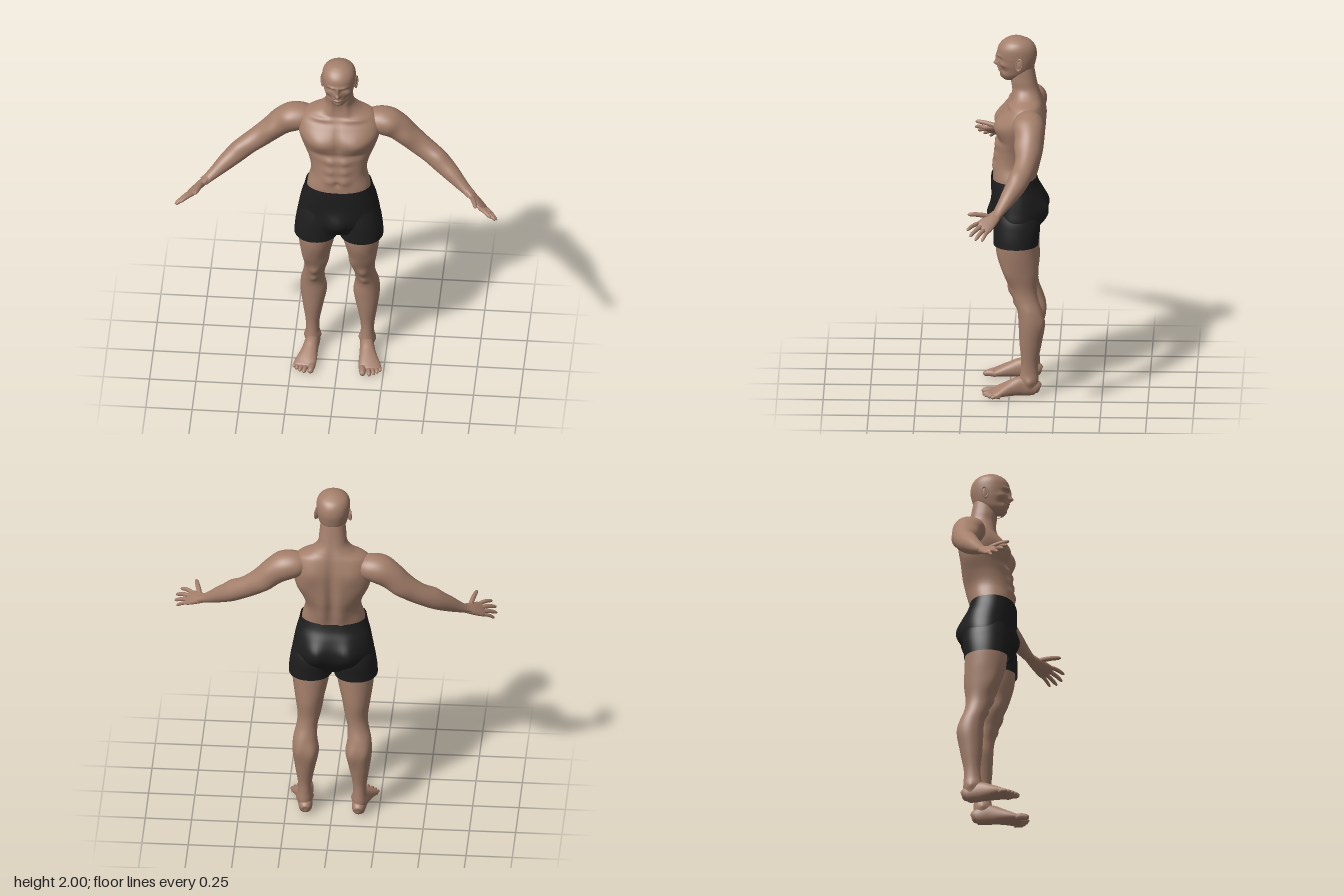
import * as THREE from 'three';

const skin = new THREE.MeshStandardMaterial({ color: 0xa47f6b });
skin.name = 'skin';
const cloth = new THREE.MeshStandardMaterial({ color: 0x1e1e1e, side: THREE.DoubleSide });
cloth.name = 'black cloth';

// Catmull-Rom blend of whole rows of numbers
function rowAt(rows, s) {
  const i = Math.min(Math.floor(s), rows.length - 2), t = s - i;
  const at = k => rows[Math.max(0, Math.min(rows.length - 1, k))];
  const [a, b, c, d] = [at(i - 1), at(i), at(i + 1), at(i + 2)];
  return b.map((p, k) => p + 0.5 * t * (c[k] - a[k] + t * (2 * a[k] - 5 * p + 4 * c[k] - d[k] + t * (3 * (p - c[k]) + d[k] - a[k]))));
}

// Smooth skin over cross-sections [x, y, z, halfWidth, halfDepth].
// With ref the sections follow the path; without it they stay horizontal.
// Bumps [x,y,z, rx,ry,rz, dx,dy,dz] push the surface locally to model muscle.
function loft(rows, { ref = null, bumps = [], around = 32, steps = 5, power = 1 } = {}) {
  const n = (rows.length - 1) * steps, pos = [], index = [];
  const u = new THREE.Vector3(1, 0, 0), v = new THREE.Vector3(0, 0, -1), t = new THREE.Vector3();
  const centre = s => new THREE.Vector3(...rowAt(rows, s).slice(0, 3));
  const round = c => Math.sign(c) * Math.abs(c) ** power;
  for (let i = 0; i <= n; i++) {
    const s = i / steps, [x, y, z, a, b] = rowAt(rows, s);
    if (ref) {
      t.subVectors(centre(Math.min(s + 0.1, rows.length - 1)), centre(Math.max(s - 0.1, 0))).normalize();
      v.copy(ref).addScaledVector(t, -ref.dot(t)).normalize();
      u.crossVectors(v, t);
    }
    for (let j = 0; j < around; j++) {
      const q = j / around * Math.PI * 2;
      const p = new THREE.Vector3(x, y, z)
        .addScaledVector(u, Math.max(a, 0.0005) * round(Math.cos(q)))
        .addScaledVector(v, Math.max(b, 0.0005) * round(Math.sin(q)));
      const o = p.clone();
      for (const [bx, by, bz, rx, ry, rz, dx, dy, dz] of bumps) {
        const g = Math.exp(-(((o.x - bx) / rx) ** 2) - ((o.y - by) / ry) ** 2 - ((o.z - bz) / rz) ** 2);
        p.x += dx * g; p.y += dy * g; p.z += dz * g;
      }
      pos.push(p.x, p.y, p.z);
      if (i < n) {
        const k = i * around + j, m = i * around + (j + 1) % around;
        index.push(k, m, k + around, m, m + around, k + around);
      }
    }
  }
  const g = new THREE.BufferGeometry();
  g.setAttribute('position', new THREE.Float32BufferAttribute(pos, 3));
  g.setIndex(index);
  g.computeVertexNormals();
  return g;
}

function mirrored(geo) {
  const g = geo.clone().scale(-1, 1, 1), ix = g.index.array;
  for (let i = 0; i < ix.length; i += 3) [ix[i], ix[i + 1]] = [ix[i + 1], ix[i]];
  g.computeVertexNormals();
  return g;
}

const both = list => list.flatMap(b => [b, [-b[0], ...b.slice(1, 6), -b[6], b[7], b[8]]]);

// Horizontal section from its front and back limits
const slab = ([y, front, back, half]) => [0, y, (front + back) / 2, half, (front - back) / 2];

// Tapered, slightly arched finger or toe
function digit(a, b, r, arch) {
  const A = new THREE.Vector3(...a), B = new THREE.Vector3(...b);
  const rows = [[0, 0.95], [0.3, 1], [0.6, 0.92], [0.85, 0.8], [0.97, 0.45], [1, 0]].map(([t, k]) => {
    const p = A.clone().lerp(B, t);
    return [p.x, p.y + arch * Math.sin(Math.PI * t), p.z, r * k, r * k];
  });
  return loft(rows, { ref: new THREE.Vector3(0.1, 1, 0), around: 12, steps: 3 });
}

export function createModel() {
  const model = new THREE.Group();
  const add = (name, geo, mat = skin) => {
    const m = new THREE.Mesh(geo, mat);
    m.name = name;
    model.add(m);
  };
  const pair = (name, geo, mat) => {
    add('left' + name, geo, mat);
    add('right' + name, mirrored(geo), mat);
  };
  const up = new THREE.Vector3(0, 1, 0);

  // Torso and neck, with chest, belly and back muscles
  add('torso', loft([
    [1.10, 0.08, -0.13, 0.160], [1.20, 0.092, -0.135, 0.170], [1.29, 0.085, -0.155, 0.150],
    [1.37, 0.075, -0.18, 0.163], [1.45, 0.07, -0.19, 0.193], [1.53, 0.065, -0.19, 0.218],
    [1.59, 0.035, -0.185, 0.215], [1.635, 0.0, -0.178, 0.185], [1.67, -0.012, -0.168, 0.118],
    [1.71, -0.014, -0.155, 0.081], [1.76, -0.004, -0.143, 0.073], [1.83, 0.0, -0.13, 0.066],
  ].map(slab), {
    around: 96, steps: 9, power: 0.88,
    bumps: [
      ...both([
        [0.10, 1.52, 0.06, 0.085, 0.055, 0.08, 0, -0.005, 0.026],
        [0.09, 1.435, 0.07, 0.09, 0.02, 0.08, 0, 0, -0.008],
        ...[1.40, 1.34, 1.28].map(y => [0.04, y, 0.08, 0.032, 0.025, 0.07, 0, 0, 0.012]),
        [0.10, 1.632, 0.0, 0.07, 0.012, 0.05, 0, 0.004, 0.010],
        [0.12, 1.55, -0.18, 0.075, 0.07, 0.06, 0, 0, -0.016],
        [0.17, 1.45, -0.13, 0.06, 0.09, 0.09, 0.012, 0, -0.010],
        [0.05, 1.27, -0.15, 0.035, 0.10, 0.06, 0, 0, -0.012],
        [0.045, 1.70, -0.01, 0.02, 0.06, 0.04, 0, 0, 0.008],
      ]),
      [0, 1.52, 0.07, 0.016, 0.08, 0.08, 0, 0, -0.012],
      [0, 1.42, -0.19, 0.025, 0.22, 0.07, 0, 0, 0.022],
      [0, 1.26, 0.09, 0.012, 0.014, 0.05, 0, 0, -0.012],
    ],
  }));

  // Head with modelled face
  add('head', loft([
    [1.752, 0.022, -0.02, 0.012], [1.763, 0.036, -0.055, 0.040], [1.79, 0.052, -0.095, 0.063],
    [1.82, 0.059, -0.125, 0.075], [1.86, 0.063, -0.138, 0.085], [1.90, 0.069, -0.145, 0.090],
    [1.94, 0.064, -0.138, 0.089], [1.97, 0.043, -0.117, 0.075], [1.99, 0.012, -0.08, 0.047],
    [1.998, -0.012, -0.056, 0.022], [2.0, -0.033, -0.035, 0.001],
  ].map(slab), {
    around: 120, steps: 11, power: 0.97,
    bumps: [
      [0, 1.847, 0.06, 0.015, 0.014, 0.04, 0, 0, 0.024],
      [0, 1.875, 0.06, 0.010, 0.024, 0.04, 0, 0, 0.014],
      [0, 1.823, 0.06, 0.024, 0.006, 0.04, 0, 0, 0.008],
      [0, 1.809, 0.06, 0.022, 0.006, 0.04, 0, 0, 0.008],
      [0, 1.816, 0.06, 0.026, 0.003, 0.04, 0, 0, -0.006],
      [0, 1.775, 0.05, 0.022, 0.013, 0.03, 0, 0, 0.008],
      ...both([
        [0.034, 1.882, 0.05, 0.017, 0.010, 0.05, 0, 0, -0.014],
        [0.034, 1.881, 0.05, 0.010, 0.005, 0.05, 0, 0, 0.008],
        [0.032, 1.901, 0.06, 0.024, 0.008, 0.04, 0, 0, 0.008],
        [0.058, 1.853, 0.03, 0.018, 0.015, 0.04, 0.004, 0, 0.006],
        [0.05, 1.82, 0.03, 0.016, 0.018, 0.04, -0.005, 0, -0.004],
      ]),
    ],
  }));

  // Ears: flat shell with a raised rim
  pair('Ear', new THREE.SphereGeometry(1, 20, 14).scale(0.008, 0.032, 0.019)
    .rotateX(-0.15).rotateY(-0.35).translate(0.087, 1.863, -0.05));
  pair('EarRim', new THREE.TorusGeometry(0.019, 0.0045, 8, 24).scale(0.9, 1.65, 1)
    .rotateY(Math.PI / 2 - 0.35).rotateX(-0.15).translate(0.092, 1.864, -0.051));

  // Shorts: seat and two open leg sleeves
  add('shortsSeat', loft([
    [0.868, -0.01, -0.06, 0.03], [0.90, 0.06, -0.12, 0.14], [0.95, 0.082, -0.155, 0.214],
    [1.00, 0.09, -0.172, 0.222], [1.06, 0.095, -0.178, 0.213], [1.12, 0.1, -0.17, 0.201],
    [1.17, 0.102, -0.153, 0.187], [1.212, 0.101, -0.142, 0.178],
  ].map(slab), {
    around: 72, steps: 7, power: 0.88,
    bumps: [
      [0, 1.0, 0.09, 0.06, 0.06, 0.1, 0, -0.01, 0.034],
      ...both([[0.09, 1.03, -0.18, 0.07, 0.08, 0.08, 0, 0, -0.042]]),
    ],
  }), cloth);
  pair('ShortsLeg', loft([
    [0.122, 0.858, -0.035, 0.118, 0.120], [0.121, 0.90, -0.037, 0.117, 0.123],
    [0.118, 0.95, -0.04, 0.114, 0.126], [0.113, 1.0, -0.04, 0.110, 0.122], [0.105, 1.06, -0.035, 0.098, 0.108],
  ], { around: 48, power: 0.95 }), cloth);

  // Legs with knee, thigh and calf forms
  pair('Leg', loft([
    [0.148, 0.04, -0.105, 0.034, 0.048], [0.148, 0.09, -0.106, 0.040, 0.052], [0.148, 0.14, -0.108, 0.036, 0.047],
    [0.148, 0.20, -0.110, 0.039, 0.046], [0.146, 0.30, -0.115, 0.056, 0.060], [0.143, 0.40, -0.119, 0.071, 0.069],
    [0.146, 0.48, -0.110, 0.064, 0.066], [0.137, 0.55, -0.088, 0.057, 0.066], [0.128, 0.61, -0.075, 0.062, 0.073],
    [0.126, 0.70, -0.060, 0.076, 0.097], [0.122, 0.80, -0.043, 0.095, 0.112], [0.118, 0.90, -0.038, 0.105, 0.113],
    [0.112, 0.98, -0.038, 0.098, 0.106],
  ], {
    around: 48, steps: 7,
    bumps: [
      [0.130, 0.595, -0.01, 0.03, 0.032, 0.04, 0, 0, 0.014],
      [0.133, 0.525, -0.03, 0.02, 0.02, 0.03, 0, 0, 0.010],
      [0.075, 0.66, -0.02, 0.03, 0.05, 0.05, -0.008, 0, 0.010],
      [0.18, 0.70, 0.0, 0.03, 0.07, 0.05, 0.006, 0, 0.008],
      [0.105, 0.40, -0.18, 0.03, 0.07, 0.05, -0.005, 0, -0.010],
      [0.180, 0.42, -0.18, 0.03, 0.06, 0.05, 0.004, 0, -0.008],
      [0.11, 0.095, -0.10, 0.02, 0.02, 0.02, -0.008, 0, 0],
      [0.186, 0.085, -0.11, 0.02, 0.02, 0.02, 0.008, 0, 0],
    ],
  }));

  // Feet and toes
  pair('Foot', loft([
    [0.142, 0.034, -0.165, 0.001, 0.001], [0.142, 0.036, -0.160, 0.020, 0.024], [0.143, 0.044, -0.145, 0.033, 0.040],
    [0.145, 0.052, -0.11, 0.038, 0.051], [0.150, 0.056, -0.06, 0.039, 0.054], [0.157, 0.046, -0.01, 0.045, 0.043],
    [0.167, 0.034, 0.04, 0.055, 0.031], [0.176, 0.024, 0.075, 0.060, 0.021], [0.180, 0.019, 0.095, 0.050, 0.014],
    [0.181, 0.018, 0.102, 0.001, 0.001],
  ], { ref: up, power: 0.9 }));
  [[0.134, 0.075, 0.142, 0.148, 0.019], [0.165, 0.075, 0.178, 0.143, 0.0135], [0.186, 0.07, 0.201, 0.131, 0.0125],
    [0.205, 0.062, 0.219, 0.115, 0.012], [0.220, 0.05, 0.234, 0.097, 0.0115]]
    .forEach(([x0, z0, x1, z1, r], i) => pair('Toe' + (i + 1), digit([x0, r + 0.002, z0], [x1, r, z1], r, 0.007)));

  // Arms from shoulder to wrist
  pair('Arm', loft([
    [0.11, 1.57, -0.100, 0.030, 0.035], [0.18, 1.573, -0.105, 0.074, 0.066], [0.25, 1.563, -0.110, 0.083, 0.079],
    [0.31, 1.530, -0.112, 0.075, 0.074], [0.37, 1.477, -0.108, 0.067, 0.065], [0.43, 1.428, -0.098, 0.060, 0.061],
    [0.49, 1.387, -0.080, 0.057, 0.056], [0.55, 1.345, -0.052, 0.055, 0.053], [0.61, 1.302, -0.015, 0.046, 0.045],
    [0.66, 1.263, 0.018, 0.036, 0.033], [0.70, 1.235, 0.045, 0.030, 0.023], [0.725, 1.221, 0.063, 0.031, 0.018],
  ], {
    ref: up, around: 40, steps: 7,
    bumps: [
      [0.27, 1.58, -0.05, 0.06, 0.05, 0.05, 0.004, 0.004, 0.010],
      [0.37, 1.50, -0.04, 0.05, 0.05, 0.04, 0, 0.004, 0.010],
      [0.36, 1.45, -0.16, 0.06, 0.05, 0.04, 0, -0.006, -0.008],
      [0.54, 1.39, -0.04, 0.05, 0.04, 0.05, 0.003, 0.008, 0.004],
    ],
  }));

  // Hands: palm, four fingers and thumb
  pair('Palm', loft([
    [0.700, 1.235, 0.044, 0.026, 0.018], [0.735, 1.215, 0.072, 0.035, 0.018], [0.765, 1.197, 0.100, 0.043, 0.016],
    [0.788, 1.183, 0.121, 0.045, 0.013], [0.800, 1.175, 0.131, 0.032, 0.009], [0.804, 1.173, 0.134, 0.001, 0.001],
  ], { ref: new THREE.Vector3(0.57, 0.77, -0.18), power: 0.85 }));
  const fingers = {
    IndexFinger: [[0.774, 1.200, 0.150], [0.840, 1.183, 0.210], 0.0115],
    MiddleFinger: [[0.784, 1.188, 0.132], [0.864, 1.155, 0.194], 0.012],
    RingFinger: [[0.792, 1.176, 0.112], [0.870, 1.136, 0.165], 0.0115],
    LittleFinger: [[0.796, 1.167, 0.094], [0.858, 1.125, 0.130], 0.010],
    Thumb: [[0.728, 1.222, 0.082], [0.758, 1.245, 0.208], 0.0135],
  };
  for (const [name, [a, b, r]] of Object.entries(fingers)) pair(name, digit(a, b, r, 0.006));

  return model;
}
